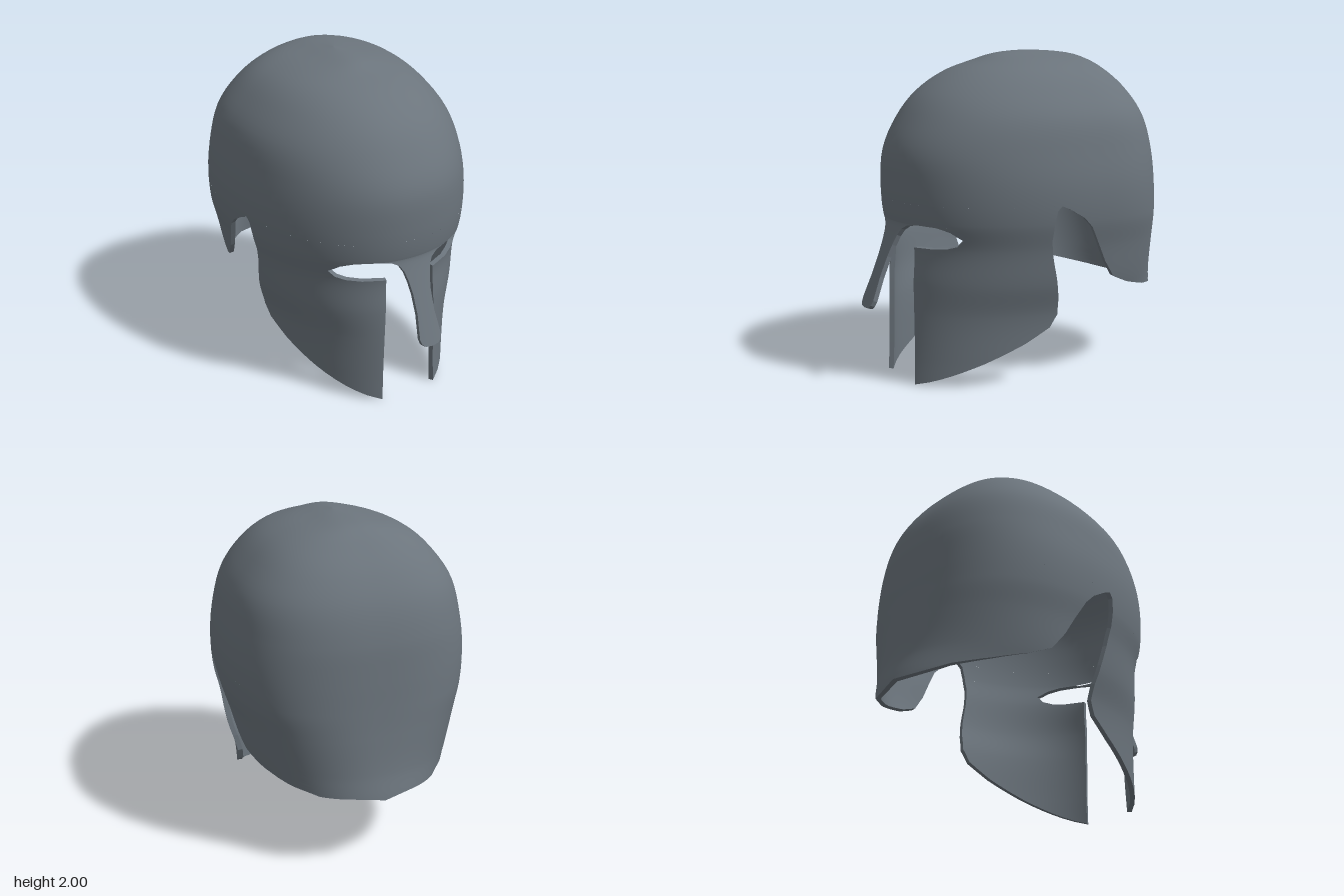
import * as THREE from 'three';

const THICK = 0.03;

// Horizontal sections of the shell: height, half width, front z, back z, z of the widest point
const SECTIONS = [
  [2, 0, -0.13, -0.13, -0.13], [1.98, 0.14, 0.1, -0.42, -0.19], [1.94, 0.3, 0.22, -0.52, -0.2],
  [1.88, 0.43, 0.39, -0.6, -0.2], [1.75, 0.57, 0.59, -0.73, -0.2], [1.6, 0.67, 0.71, -0.82, -0.2],
  [1.4, 0.72, 0.805, -0.875, -0.2], [1.2, 0.745, 0.82, -0.895, -0.2], [1, 0.735, 0.805, -0.91, -0.2],
  [0.84, 0.7, 0.765, -0.925, -0.2], [0.62, 0.66, 0.78, -0.955, -0.2], [0.43, 0.605, 0.79, -1, -0.2],
  [0.16, 0.58, 0.8, -1, -0.2], [0, 0.57, 0.81, -1, -0.2],
];
const sections = new THREE.CubicInterpolant(
  SECTIONS.map((r) => Math.sqrt(2 - r[0])), SECTIONS.flatMap((r) => r.slice(1)), 4);

// Point on the shell: angle 0 is the front, PI the back
function shell(angle, y) {
  const [w, zf, zb, zc] = sections.evaluate(Math.sqrt(Math.max(0, 2 - y)));
  const s = Math.sin(angle), c = Math.cos(angle);
  const n = c > 0 ? 2.1 : 2.1 + 0.4 * THREE.MathUtils.smoothstep(y, 0.47, 1);
  const r = Math.pow(Math.abs(s) ** n + Math.abs(c) ** n, -1 / n);
  return new THREE.Vector3(w * s * r, y, zc + (c > 0 ? zf - zc : zc - zb) * c * r);
}

// Angle at which a growing test flips, found by bisection
function findAngle(max, isBefore) {
  let a = 0, b = max;
  for (let i = 0; i < 40; i++) {
    const m = (a + b) / 2;
    if (isBefore(m)) a = m; else b = m;
  }
  return (a + b) / 2;
}
const angleAtX = (x, y) => findAngle(Math.PI / 2, (a) => shell(a, y).x < x);
const angleAtZ = (z, y) => findAngle(Math.PI, (a) => shell(a, y).z > z);

// Outlines of the openings as [x or z, y], from the top down
const EYE_AND_CHEEK = [[0.25, 0.985], [0.36, 0.98], [0.42, 0.957], [0.465, 0.91], [0.43, 0.87],
  [0.38, 0.852], [0.3, 0.844], [0.167, 0.84], [0.178, 0.5], [0.192, 0]];
const CHEEK_BACK = [[0.05, 1.11], [0.077, 1.08], [0.09, 1], [0.093, 0.9], [0.07, 0.78], [0.035, 0.65],
  [0.007, 0.53], [-0.003, 0.43], [0.04, 0.35], [0.19, 0.26], [0.42, 0.15], [0.76, 0]];
const GUARD_FRONT = [[0.05, 1.11], [0, 1.088], [-0.1, 1.03], [-0.16, 0.97], [-0.23, 0.85], [-0.29, 0.74],
  [-0.37, 0.635], [-0.5, 0.58], [-0.7, 0.525], [-0.86, 0.492], [-1, 0.468]];
const NASAL_EDGE = [[0.25, 0.985], [0.16, 0.975], [0.115, 0.95], [0.09, 0.91], [0.074, 0.85], [0.063, 0.78],
  [0.06, 0.66], [0.068, 0.59], [0.075, 0.52], [0.066, 0.49], [0.045, 0.473], [0, 0.468]];

function along(line, y) {
  for (let i = 1; i < line.length; i++) {
    const [a, ya] = line[i - 1], [b, yb] = line[i];
    if (y >= yb) return a + (b - a) * Math.min(1, Math.max(0, (ya - y) / (ya - yb)));
  }
  return line[line.length - 1][0];
}

// Row heights: even steps plus every outline corner
function rowsFor(top, bottom, ...lines) {
  const ys = lines.flat().map((p) => p[1]);
  const steps = Math.ceil((top - bottom) / 0.025);
  for (let i = 0; i <= steps; i++) ys.push(top + ((bottom - top) * i) / steps);
  return ys.filter((y) => y <= top && y >= bottom).sort((a, b) => b - a)
    .filter((y, i, all) => i === 0 || all[i - 1] - y > 1e-5);
}

// Thick mirrored plate between two edges of a surface, with optional rim walls
function plate(surface, rows, left, right, cols, rimLeft, rimRight) {
  const pos = [], nor = [], index = [];
  const normalAt = (u, y) => {
    const e = 1e-3, v = Math.min(y, 1.995);
    const down = surface(u, v - e).sub(surface(u, v + e));
    const across = surface(u + e, v).sub(surface(u - e, v));
    return down.cross(across).normalize();
  };
  const grid = rows.map((y) => {
    const l = left(y), r = Math.max(l, right(y));
    return Array.from({ length: cols + 1 }, (_, j) => {
      const u = l + ((r - l) * j) / cols, n = normalAt(u, y), outer = surface(u, y);
      return { n, outer, inner: outer.clone().addScaledVector(n, -THICK) };
    });
  });
  for (const side of [1, -1]) {
    const vertex = (p, n) => {
      pos.push(p.x * side, p.y, p.z);
      nor.push(n.x * side, n.y, n.z);
      return pos.length / 3 - 1;
    };
    const quad = (a, b, c, d) => {
      if (side > 0) index.push(a, b, c, a, c, d);
      else index.push(a, c, b, a, d, c);
    };
    const skin = (key, dir) => {
      const ids = grid.map((row) => row.map((g) => vertex(g[key], g.n.clone().multiplyScalar(dir))));
      for (let i = 0; i < ids.length - 1; i++) {
        for (let j = 0; j < cols; j++) {
          const [a, b, c, d] = [ids[i][j], ids[i + 1][j], ids[i + 1][j + 1], ids[i][j + 1]];
          if (dir > 0) quad(a, b, c, d); else quad(a, d, c, b);
        }
      }
    };
    skin('outer', 1);
    skin('inner', -1);
    const rim = (j, dir) => {
      for (let i = 0; i < grid.length - 1; i++) {
        const p = grid[i][j], q = grid[i + 1][j];
        const n = p.inner.clone().sub(p.outer).cross(q.outer.clone().sub(p.outer)).normalize().multiplyScalar(dir);
        const [a, b, c, d] = [p.outer, p.inner, q.inner, q.outer].map((v) => vertex(v, n));
        if (dir > 0) quad(a, b, c, d); else quad(a, d, c, b);
      }
    };
    if (rimLeft) rim(0, 1);
    if (rimRight) rim(cols, -1);
  }
  const geometry = new THREE.BufferGeometry();
  geometry.setAttribute('position', new THREE.Float32BufferAttribute(pos, 3));
  geometry.setAttribute('normal', new THREE.Float32BufferAttribute(nor, 3));
  geometry.setIndex(index);
  return geometry;
}

export function createModel() {
  const steel = new THREE.MeshStandardMaterial({ color: 0x6b747c });
  steel.name = 'slate steel';
  const model = new THREE.Group();
  model.name = 'helmet';
  const add = (name, geometry) => {
    const mesh = new THREE.Mesh(geometry, steel);
    mesh.name = name;
    model.add(mesh);
  };
  const front = () => 0, back = () => Math.PI;
  const cheekBack = (y) => angleAtZ(along(CHEEK_BACK, y), y);
  const cheekFront = (y) => angleAtX(along(EYE_AND_CHEEK, y), y);
  const guardFront = (y) => angleAtZ(along(GUARD_FRONT, y), y);

  // Dome, with rows packed towards the apex
  const domeRows = Array.from({ length: 29 }, (_, i) => 2 - 0.89 * (i / 28) ** 2);
  add('crown', plate(shell, domeRows, front, back, 48, false, false));

  // Forehead band between the ear arches
  add('brow', plate(shell, rowsFor(1.11, 0.985, CHEEK_BACK), front, cheekBack, 32, false, true));

  // Cheek plates, with the eye openings cut into their front edge
  add('cheekGuards', plate(shell, rowsFor(0.985, 0, EYE_AND_CHEEK, CHEEK_BACK),
    cheekFront, cheekBack, 24, true, true));

  // Flared guard behind the ears
  add('neckGuard', plate(shell, rowsFor(1.11, 0.468, GUARD_FRONT), guardFront, back, 28, true, false));

  // Nose bar sweeping forward from the brow
  const nose = (x, y) => {
    const drop = Math.max(0, 0.985 - y);
    const base = shell(angleAtX(Math.abs(x), 0.985), 0.985).z;
    return new THREE.Vector3(x, y, base + (0.4 * drop * drop) / (drop + 0.03));
  };
  add('noseGuard', plate(nose, rowsFor(0.985, 0.468, NASAL_EDGE), front,
    (y) => along(NASAL_EDGE, y), 8, false, true));

  return model;
}
